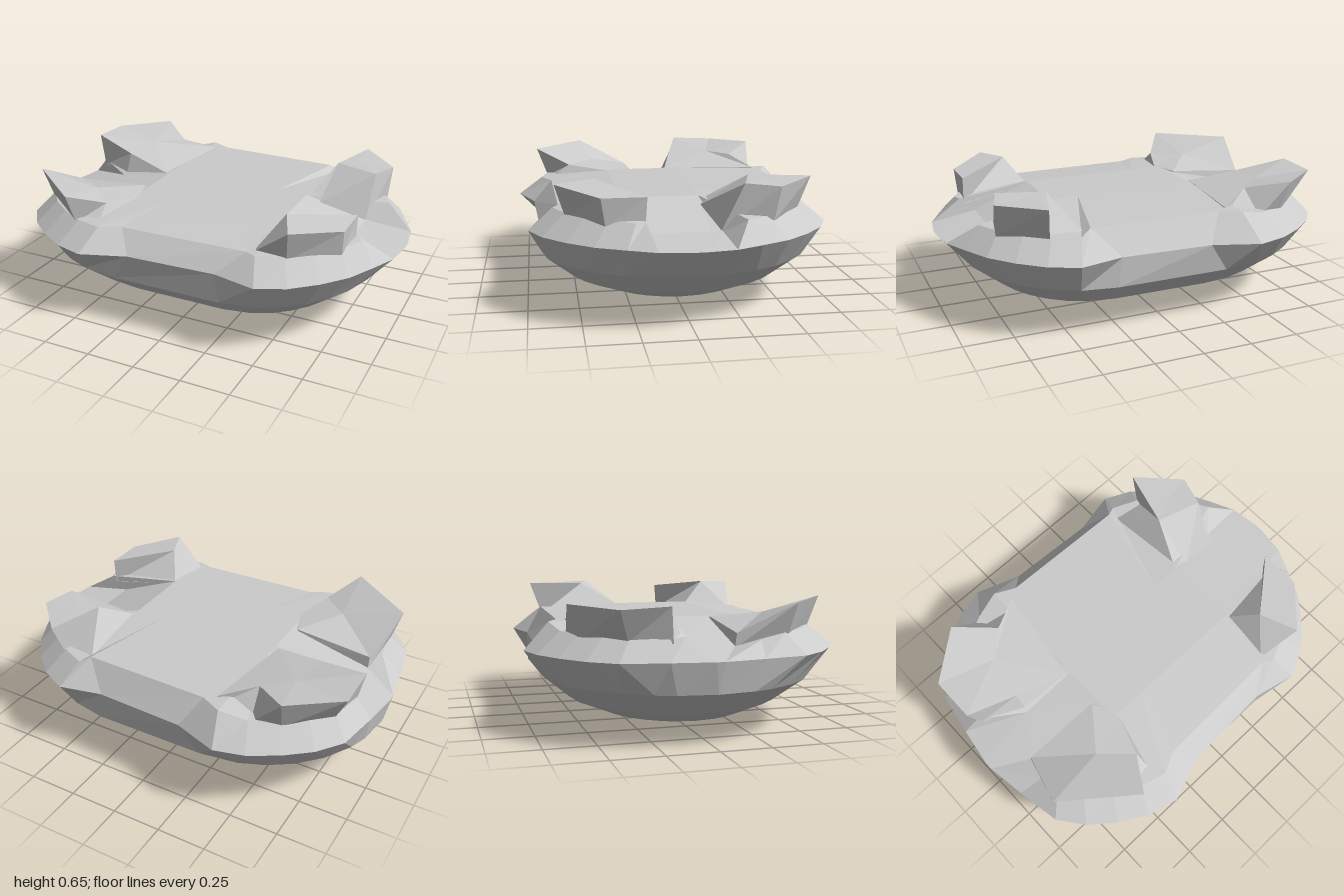
import * as THREE from 'three';

const material = new THREE.MeshStandardMaterial({ color: 0xcccccc, flatShading: true });
const vec = (x, y, z) => new THREE.Vector3(x, y, z);

// Skin a stack of equal-length rings (counter-clockwise from above, lowest first) and cap both ends.
function loft(name, rings) {
  const pos = [];
  const tri = (a, b, c) => {
    const n = b.clone().sub(a).cross(c.clone().sub(a));
    if (n.length() > 1e-7) for (const p of [a, b, c]) pos.push(p.x, p.y, p.z);
  };
  const n = rings[0].length;
  for (let r = 0; r < rings.length - 1; r++) {
    for (let i = 0; i < n; i++) {
      const j = (i + 1) % n, lo = rings[r], hi = rings[r + 1];
      tri(lo[i], lo[j], hi[j]);
      tri(lo[i], hi[j], hi[i]);
    }
  }
  const centre = (ring) => ring.reduce((s, p) => s.add(p), vec(0, 0, 0)).divideScalar(n);
  const bottom = rings[0], top = rings[rings.length - 1];
  const cb = centre(bottom), ct = centre(top);
  for (let i = 0; i < n; i++) {
    const j = (i + 1) % n;
    tri(cb, bottom[j], bottom[i]);
    tri(ct, top[i], top[j]);
  }
  const geo = new THREE.BufferGeometry();
  geo.setAttribute('position', new THREE.Float32BufferAttribute(pos, 3));
  geo.computeVertexNormals();
  const mesh = new THREE.Mesh(geo, material);
  mesh.name = name;
  return mesh;
}

// Half outlines (x, z) of the widest ring, from the waist to each tip.
const RIGHT = [[0.27, 0.685], [0.49, 0.735], [0.63, 0.67], [0.75, 0.565], [0.85, 0.445], [0.92, 0.305], [0.98, 0.175], [1, 0.03]];
const LEFT = [[-0.19, 0.705], [-0.42, 0.785], [-0.57, 0.745], [-0.71, 0.665], [-0.835, 0.565], [-0.93, 0.44], [-0.97, 0.22], [-1, 0.02]];
const mirrorZ = (pts) => pts.map(([x, z]) => [x, -z]);
const OUTLINE = [...RIGHT, ...mirrorZ(RIGHT).reverse(), ...mirrorZ(LEFT), ...LEFT.slice().reverse()];

// Stadium ring whose points line up with the outline.
function stadium(y, xMin, xMax, rz) {
  return OUTLINE.map(([x, z]) => {
    const waist = x > 0 ? 0.27 : -0.19;
    const t = (x - waist) / (Math.sign(x) - waist);
    const tip = x > 0 ? xMax : xMin;
    const c = tip * (x > 0 ? 0.3 : 0.28) + waist * 0.1;
    return vec(c + t * (tip - c), y, Math.sign(z) * rz * Math.sqrt(1 - t * t));
  });
}

// Shoulder ring: dips at both tips, where ramps leave the deck, and rises along the back.
function shoulderPoint([x, z]) {
  if (x === 1) return z > 0 ? vec(0.74, 0.425, 0.22) : vec(0.74, 0.425, -0.1);
  if (x === 0.98) return z > 0 ? vec(0.82, 0.5, 0.21) : vec(0.75, 0.425, -0.16);
  if (x === -1) return z > 0 ? vec(-0.82, 0.44, 0.13) : vec(-0.68, 0.475, -0.06);
  if (x === -0.97) return z > 0 ? vec(-0.85, 0.47, 0.25) : vec(-0.89, 0.49, -0.2);
  const waist = Math.abs(x) < 0.3;
  const back = z < -0.6 && Math.abs(x) < 0.45;
  return vec(x * (waist ? 1.45 : 0.91), back ? 0.53 : 0.5, z * (waist ? 0.86 : 0.84));
}

function buildBody() {
  const outline = OUTLINE.map(([x, z]) => vec(x, 0.4, z));
  // flat deck; its corners stop where the ramps and raised corners begin
  const deck = OUTLINE.map(([x, z]) => {
    const tip = x === 1 || x === -1;
    const front = x > 0 ? 0.28 : 0.14, back = x > 0 ? -0.1 : -0.05;
    return vec(THREE.MathUtils.clamp(x, -0.38, 0.43), 0.535,
      tip ? (z > 0 ? front : back) : THREE.MathUtils.clamp(z * 9, -0.1, 0.28));
  });
  return loft('body', [
    stadium(0, -0.35, 0.27, 0.16),
    stadium(0.06, -0.65, 0.57, 0.38),
    stadium(0.13, -0.8, 0.72, 0.54),
    stadium(0.25, -0.97, 0.87, 0.68),
    outline, OUTLINE.map(shoulderPoint), deck,
  ]);
}

// Raised corners: each row is base x, y, z then top x, y, z.
const CORNERS = {
  frontLeftCorner: [
    [0.58, 0.48, 0.56, 0.6, 0.64, 0.61],
    [0.79, 0.48, 0.39, 0.8, 0.61, 0.41],
    [0.8, 0.47, 0.21, 0.8, 0.61, 0.2],
    [0.43, 0.52, 0.28, 0.52, 0.65, 0.42],
    [0.41, 0.49, 0.56, 0.52, 0.65, 0.42],
  ],
  backLeftCorner: [
    [0.5, 0.5, -0.09, 0.52, 0.65, -0.33],
    [0.74, 0.42, -0.15, 0.75, 0.65, -0.26],
    [0.79, 0.48, -0.39, 0.8, 0.64, -0.42],
    [0.58, 0.48, -0.56, 0.6, 0.65, -0.62],
    [0.41, 0.5, -0.56, 0.52, 0.65, -0.33],
    [0.43, 0.51, -0.1, 0.52, 0.65, -0.33],
  ],
  backRightCorner: [
    [-0.4, 0.5, -0.05, -0.4, 0.535, -0.06],
    [-0.32, 0.48, -0.58, -0.33, 0.535, -0.57],
    [-0.52, 0.47, -0.6, -0.5, 0.59, -0.47],
    [-0.66, 0.47, -0.56, -0.68, 0.64, -0.62],
    [-0.85, 0.48, -0.38, -0.92, 0.63, -0.43],
    [-0.88, 0.47, -0.18, -0.92, 0.64, -0.2],
    [-0.67, 0.46, -0.07, -0.67, 0.585, -0.13],
  ],
  frontRightCorner: [
    [-0.54, 0.48, 0.62, -0.55, 0.64, 0.68],
    [-0.42, 0.48, 0.61, -0.43, 0.56, 0.5],
    [-0.34, 0.48, 0.28, -0.36, 0.535, 0.3],
    [-0.4, 0.48, 0.14, -0.41, 0.535, 0.15],
    [-0.82, 0.43, 0.13, -0.82, 0.5, 0.14],
    [-0.84, 0.47, 0.38, -0.89, 0.64, 0.41],
  ],
};

export function createModel() {
  const model = new THREE.Group();
  model.name = 'model';
  model.add(buildBody());
  for (const [name, rows] of Object.entries(CORNERS)) {
    model.add(loft(name, [
      rows.map((r) => vec(r[0], r[1], r[2])),
      rows.map((r) => vec(r[3], r[4], r[5])),
    ]));
  }
  return model;
}
